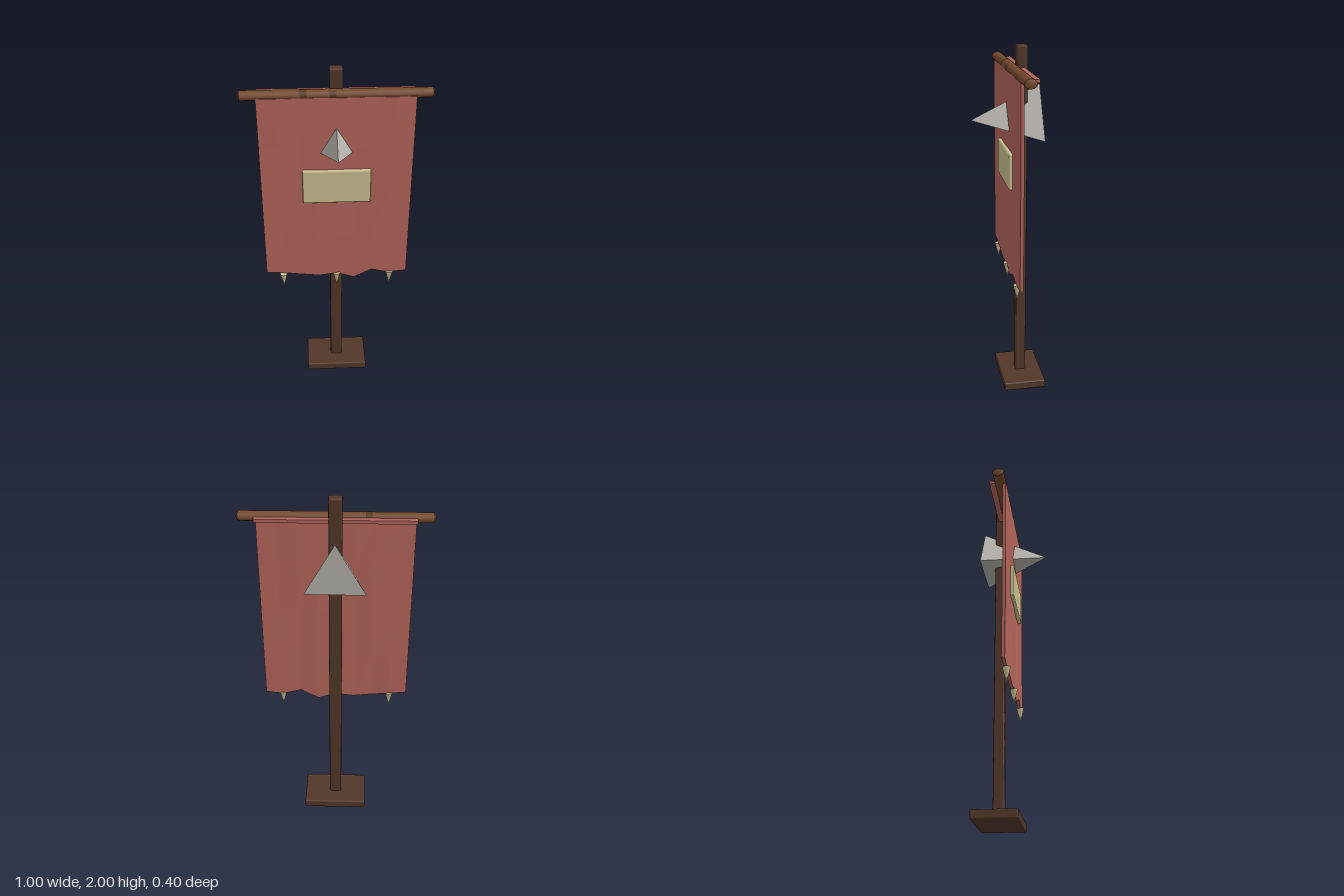
import * as THREE from 'three';
import { RoundedBoxGeometry } from 'three/addons/geometries/RoundedBoxGeometry.js';

const material = (name, color, flatShading = false) => {
  const m = new THREE.MeshStandardMaterial({ color, flatShading });
  m.name = name;
  return m;
};

export function createModel() {
  const group = new THREE.Group();
  const darkWood = material('dark wood', 0x523729);
  const barWood = material('bar wood', 0x75492d);
  const bandWood = material('bar band', 0x55351f);
  const red = material('red cloth', 0xb4655b, true);
  const tan = material('tan', 0xcabf90);
  const grey = material('grey metal', 0xb4b0aa, true);
  bandWood.side = THREE.DoubleSide;

  const add = (name, geometry, mat, x, y, z) => {
    const mesh = new THREE.Mesh(geometry, mat);
    mesh.name = name;
    mesh.position.set(x, y, z);
    group.add(mesh);
    return mesh;
  };

  // Stand
  add('base', new RoundedBoxGeometry(0.37, 0.05, 0.246, 2, 0.008), darkWood, 0, 0.025, -0.077);
  add('pole', new RoundedBoxGeometry(0.07, 1.96, 0.06, 2, 0.008), darkWood, 0, 1.02, -0.077);

  // Oval crossbar with chamfered ends
  const h = 0.5;
  const bar = new THREE.LatheGeometry([
    [0, -h], [0.019, -h], [0.025, -h + 0.008], [0.025, -h + 0.008],
    [0.025, h - 0.008], [0.025, h - 0.008], [0.019, h], [0, h],
  ].map(([r, y]) => new THREE.Vector2(r, y)), 16);
  bar.rotateZ(Math.PI / 2).scale(1, 1, 1.28);
  add('crossbar', bar, barWood, 0, 1.876, -0.028);

  // Dark bands on the crossbar: one full, one on the front half
  const band = (x, start, sweep) => {
    const g = new THREE.CylinderGeometry(0.0256, 0.0256, 0.034, 16, 1, true, start, sweep);
    add('barBand', g.rotateZ(Math.PI / 2).scale(1, 1, 1.28), bandWood, x, 1.876, -0.028);
  };
  band(-0.168, 0, Math.PI * 2);
  band(-0.018, -Math.PI / 3, Math.PI * 2 / 3);

  // Hanging cloth with a ragged hem and faint folds
  const hem = [0.77, 0.763, 0.752, 0.74, 0.753, 0.72, 0.775, 0.748, 0.76];
  const top = 1.868;
  const cloth = new THREE.BoxGeometry(0.82, 1, 0.018, 8, 4, 1);
  const p = cloth.attributes.position;
  for (let i = 0; i < p.count; i++) {
    const column = Math.round((p.getX(i) / 0.82 + 0.5) * 8);
    const down = 0.5 - p.getY(i);
    p.setY(i, top - down * (top - hem[column]));
    p.setZ(i, p.getZ(i) + 0.002 * Math.sin(column * 1.9 + down * 3));
  }
  cloth.computeVertexNormals();
  add('bannerCloth', cloth, red, 0, 0, -0.005);
  // Fold of cloth carried behind the crossbar
  add('clothFold', new THREE.BoxGeometry(0.82, 0.018, 0.06), red, 0, 1.874, -0.06);

  // Front plaque
  add('plaque', new RoundedBoxGeometry(0.37, 0.2, 0.026, 2, 0.008), tan, 0, 1.355, 0.01);

  // Three-sided spike through the cloth, pointing forward
  const spike = new THREE.ConeGeometry(0.188, 0.378, 3);
  spike.rotateX(Math.PI / 2).rotateZ(Math.PI);
  spike.computeBoundingBox();
  // Keep a single corner upward
  if (spike.boundingBox.max.y < 0.15) spike.rotateZ(Math.PI);
  add('spike', spike, grey, 0, 1.604, 0.011);

  // Hem points
  for (const x of [-0.312, 0, 0.312]) {
    add('hemPoint', new THREE.ConeGeometry(0.022, 0.095, 8).rotateX(Math.PI), tan, x, 0.708, 0);
  }
  return group;
}
